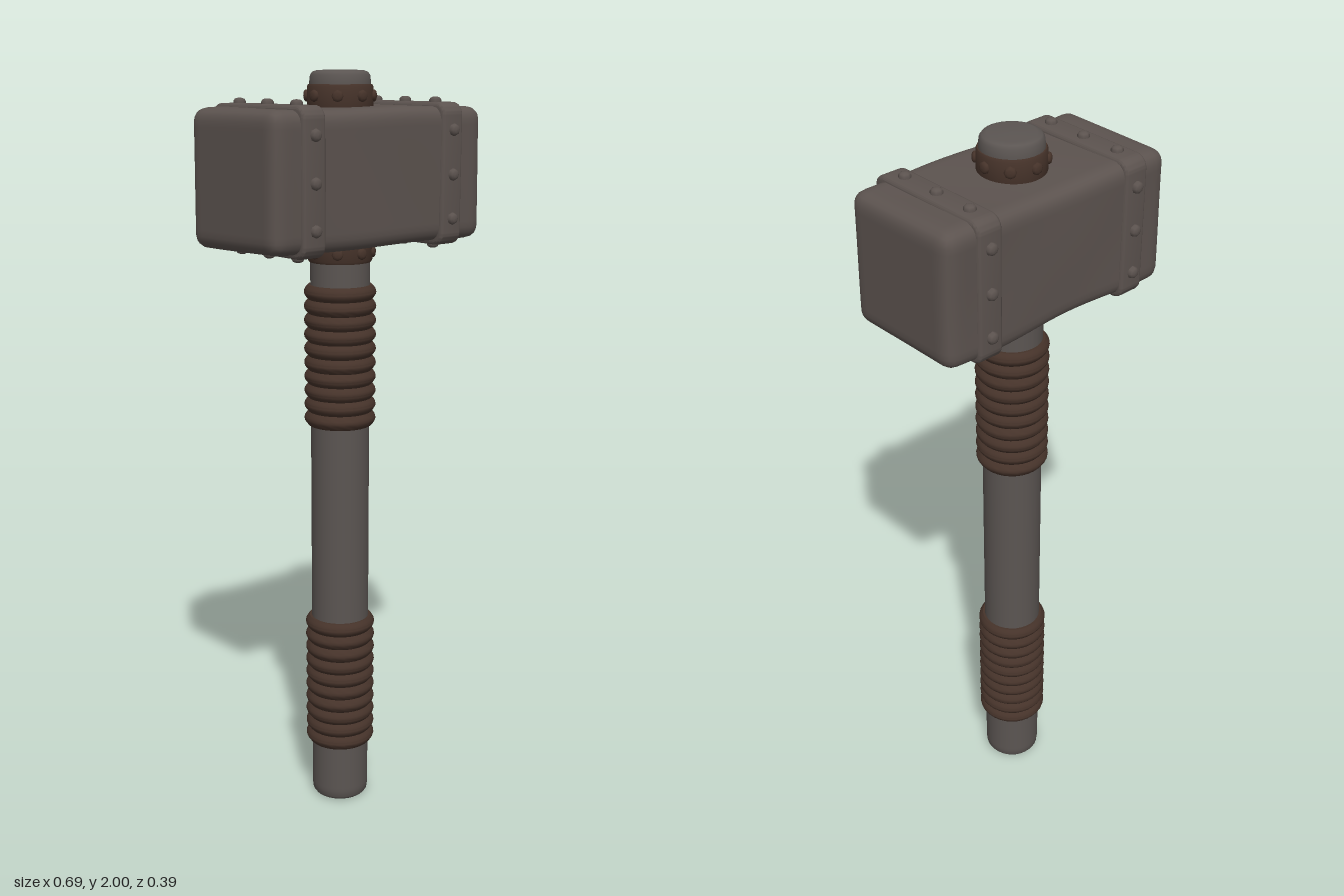
import * as THREE from 'three';
import { mergeVertices, toCreasedNormals } from 'three/addons/utils/BufferGeometryUtils.js';

const mat = (name, color) => {
  const m = new THREE.MeshStandardMaterial({ color });
  m.name = name;
  return m;
};

const HEAD_Y = 1.74;

export function createModel() {
  const iron = mat('dark iron', 0x5c534f);
  const steel = mat('handle grey', 0x5b5552);
  const leather = mat('brown leather', 0x46332a);

  const model = new THREE.Group();
  model.name = 'warHammer';

  const add = (parent, name, geometry, material) => {
    const mesh = new THREE.Mesh(geometry, material);
    mesh.name = name;
    parent.add(mesh);
    return mesh;
  };
  const lathe = (points, segments) =>
    new THREE.LatheGeometry(points.map(([r, y]) => new THREE.Vector2(r, y)), segments);

  // Handle: one long shaft with softened ends, running through the head
  add(model, 'handle', lathe([
    [0, 0], [0.058, 0.001], [0.07, 0.005], [0.076, 0.013], [0.078, 0.03], [0.078, 0.04],
    [0.078, 1.96], [0.078, 1.97], [0.076, 1.987], [0.07, 1.995], [0.058, 1.999], [0, 2],
  ], 32), steel);

  // Grip wraps: stacks of rounded leather coils
  const wrap = (name, y0, y1, coils = 10) => {
    const pitch = (y1 - y0) / coils;
    const points = [[0.077, y0]];
    for (let i = 0; i < coils; i++) {
      for (let k = 0; k <= 6; k++) {
        if (k === 0 && i > 0) continue;
        const t = k / 6;
        points.push([0.084 + 0.011 * Math.sin(Math.PI * t), y0 + (i + t) * pitch]);
      }
    }
    points.push([0.077, y1]);
    add(model, name, toCreasedNormals(lathe(points, 32), 0.8), leather);
  };
  wrap('lowerGrip', 0.165, 0.54);
  wrap('upperGrip', 1.085, 1.46);

  // Head: rounded block, slightly uneven as if hand forged
  const half = new THREE.Vector3(0.347, 0.171, 0.171);
  const radius = 0.034;
  let headGeo = new THREE.BoxGeometry(2, 2, 2, 36, 22, 22);
  headGeo.deleteAttribute('uv');
  headGeo.deleteAttribute('normal');
  headGeo = mergeVertices(headGeo);
  const pos = headGeo.attributes.position;
  const inner = half.clone().subScalar(radius);
  const p = new THREE.Vector3();
  const core = new THREE.Vector3();
  for (let i = 0; i < pos.count; i++) {
    p.fromBufferAttribute(pos, i).multiply(half);
    core.copy(p).clamp(inner.clone().negate(), inner);
    p.sub(core).setLength(radius).add(core);
    const dent = 0.004 * Math.sin(p.x * 13 + p.y * 5) * Math.cos(p.z * 9 - p.y * 7)
      - 0.003 * Math.exp(-((p.x / 0.13) ** 2));
    p.y *= 1 + dent * 4;
    p.z *= 1 + dent * 4;
    pos.setXYZ(i, p.x, p.y, p.z);
  }
  headGeo.computeVertexNormals();
  const head = new THREE.Group();
  head.name = 'head';
  head.position.y = HEAD_Y;
  model.add(head);
  add(head, 'headBlock', headGeo, iron);

  // Band outline: rounded square across the head
  const bevel = 0.008;
  const s = 0.18 - bevel;
  const r = 0.024;
  const outline = new THREE.Shape();
  [[1, 1], [-1, 1], [-1, -1], [1, -1]].forEach(([a, b], i) => {
    outline.absarc(a * (s - r), b * (s - r), r, i * Math.PI / 2, (i + 1) * Math.PI / 2);
  });
  const width = 0.07;
  let bandGeo = new THREE.ExtrudeGeometry(outline, {
    depth: width - 2 * bevel, bevelThickness: bevel, bevelSize: bevel, bevelSegments: 3, curveSegments: 6,
  });
  bandGeo.translate(0, 0, bevel - width / 2);
  bandGeo.rotateY(Math.PI / 2);
  bandGeo = toCreasedNormals(bandGeo, 0.7);

  // Rivet: small low dome pointing along +y
  const rivetGeo = lathe([[0.0155, -0.004], [0.0155, 0.006], [0.0125, 0.011], [0.007, 0.0135], [0, 0.014]], 8);

  // Two bands, each with three rivets on all four sides
  for (const [side, x] of [['right', -0.232], ['left', 0.226]]) {
    const band = new THREE.Group();
    band.name = side + 'Band';
    band.position.x = x;
    head.add(band);
    add(band, side + 'Strap', bandGeo, iron);
    for (let f = 0; f < 4; f++) {
      const face = new THREE.Group();
      face.name = 'rivetRow';
      face.rotation.x = f * Math.PI / 2;
      band.add(face);
      for (const z of [-0.112, 0, 0.112]) {
        add(face, 'bandRivet', rivetGeo, iron).position.set(0, 0.179, z);
      }
    }
  }

  // Collars above and below the head, each with eight rivets
  const collarRivet = rivetGeo.clone().scale(0.95, 0.7, 0.95);
  const collar = (name, y0, y1, rivetY) => {
    const group = new THREE.Group();
    group.name = name;
    model.add(group);
    add(group, name + 'Ring', toCreasedNormals(lathe([
      [0.077, y0], [0.081, y0], [0.084, y0 + 0.006], [0.084, y1 - 0.006], [0.081, y1], [0.077, y1],
    ], 32), 0.6), leather);
    for (let i = 0; i < 8; i++) {
      const spoke = new THREE.Group();
      spoke.name = 'rivetSpoke';
      spoke.rotation.y = i * Math.PI / 4;
      group.add(spoke);
      const rivet = add(spoke, 'collarRivet', collarRivet, leather);
      rivet.position.set(0, rivetY, 0.083);
      rivet.rotation.x = Math.PI / 2;
    }
  };
  collar('upperCollar', 1.89, 1.965, 1.937);
  collar('lowerCollar', 1.52, 1.59, 1.546);

  return model;
}
